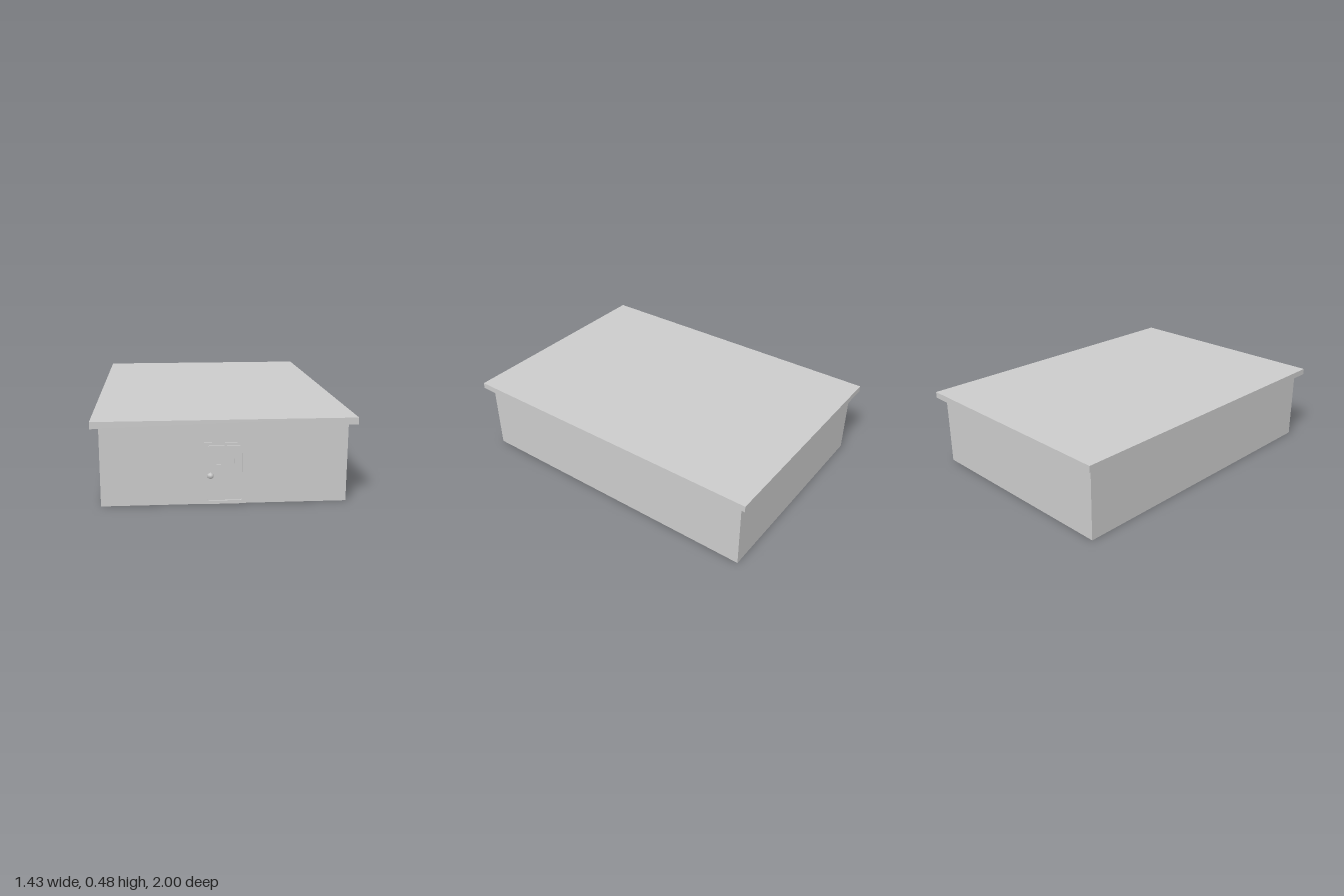
import * as THREE from 'three';

// Rectangle outline centred on (0, cy), with optional rounded corners; for shapes and holes
function rect(path, w, h, r = 0, cx = 0, cy = 0) {
  const x = w / 2, y = h / 2;
  if (r === 0) {
    path.moveTo(cx - x, cy - y);
    path.lineTo(cx + x, cy - y);
    path.lineTo(cx + x, cy + y);
    path.lineTo(cx - x, cy + y);
    path.closePath();
    return path;
  }
  path.moveTo(cx - x + r, cy - y);
  path.absarc(cx + x - r, cy - y + r, r, -Math.PI / 2, 0);
  path.absarc(cx + x - r, cy + y - r, r, 0, Math.PI / 2);
  path.absarc(cx - x + r, cy + y - r, r, Math.PI / 2, Math.PI);
  path.absarc(cx - x + r, cy - y + r, r, Math.PI, Math.PI * 1.5);
  return path;
}

const extrude = (shape, depth) =>
  new THREE.ExtrudeGeometry(shape, { depth, bevelEnabled: false, curveSegments: 4 });

export function createModel() {
  const model = new THREE.Group();
  model.name = 'building';

  const grey = new THREE.MeshStandardMaterial({ color: 0xcccccc, side: THREE.DoubleSide });
  grey.name = 'plain grey';

  function add(parent, name, geometry, x, y, z) {
    const mesh = new THREE.Mesh(geometry, grey);
    mesh.name = name;
    mesh.position.set(x, y, z);
    parent.add(mesh);
    return mesh;
  }

  // Four single-surface walls, open underneath; the front one has a doorway
  const halfX = 0.671, halfZ = 0.956, wallH = 0.442;
  const frameW = 0.226, frameH = 0.346;
  const names = ['frontWall', 'leftWall', 'backWall', 'rightWall'];
  names.forEach((name, i) => {
    const angle = i * Math.PI / 2;
    const outline = rect(new THREE.Shape(), 2 * (i % 2 === 0 ? halfX : halfZ), wallH);
    if (i === 0) {
      outline.holes.push(rect(new THREE.Path(), frameW, frameH - 0.001, 0, 0, (frameH - wallH) / 2 + 0.0005));
    }
    const wall = add(model, name, new THREE.ShapeGeometry(outline),
      Math.sin(angle) * halfX, wallH / 2, Math.cos(angle) * halfZ);
    wall.rotation.y = angle;
  });

  // Overhanging flat roof slab
  const roofH = 0.038;
  add(model, 'roof', new THREE.BoxGeometry(1.426, roofH, 2), 0, wallH + roofH / 2, 0);

  // Door set in a frame that passes through the front wall
  const door = new THREE.Group();
  door.name = 'door';
  door.position.set(0, frameH / 2, halfZ);
  model.add(door);
  add(door, 'doorBacking', new THREE.BoxGeometry(frameW, frameH, 0.006), 0, 0, -0.007);

  // Frame and panel, separated by a narrow rounded groove
  const doorW = 0.19, doorH = 0.314, gap = 0.005;
  const frame = rect(new THREE.Shape(), frameW, frameH);
  frame.holes.push(rect(new THREE.Path(), doorW, doorH, 0.013, -0.001, 0.003));
  add(door, 'doorFrame', extrude(frame, 0.009), 0, 0, -0.004);

  const panel = rect(new THREE.Shape(), doorW - 2 * gap, doorH - 2 * gap, 0.009, -0.001, 0.003);
  panel.holes.push(rect(new THREE.Path(), 0.1, 0.036, 0, 0.003, 0.07));
  add(door, 'doorPanel', extrude(panel, 0.009), 0, 0, -0.004);

  // Shallow letter slot and faceted knob
  add(door, 'letterSlot', new THREE.BoxGeometry(0.1, 0.036, 0.005), 0.003, 0.07, -0.0015);
  add(door, 'knob', new THREE.SphereGeometry(0.019, 8, 3), -0.079, -0.012, 0.006);

  return model;
}
